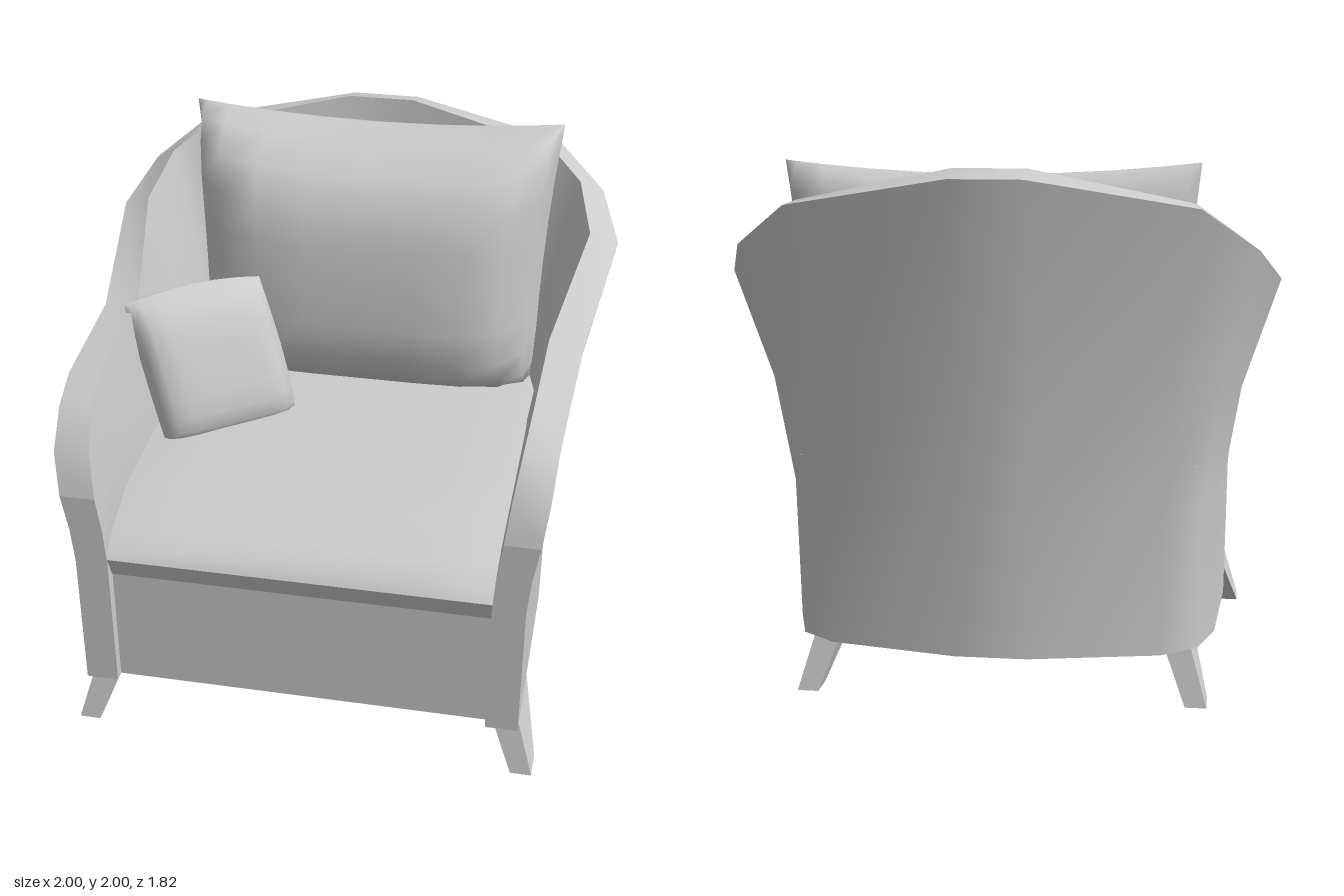
import * as THREE from 'three';

const mat = new THREE.MeshStandardMaterial({ color: 0xcccccc, side: THREE.DoubleSide });
const lerp = (a, b, t) => a + (b - a) * t;

function mesh(name, geo) {
  const m = new THREE.Mesh(geo, mat);
  m.name = name;
  return m;
}

// Smooth surface through rows x cols points, fn(row, col) -> [x, y, z]
function grid(rows, cols, fn) {
  const pos = [], idx = [];
  for (let i = 0; i < rows; i++) {
    for (let j = 0; j < cols; j++) {
      pos.push(...fn(i, j));
      if (i && j) {
        const d = i * cols + j, c = d - 1, b = d - cols, a = b - 1;
        idx.push(a, b, d, a, d, c);
      }
    }
  }
  const g = new THREE.BufferGeometry();
  g.setAttribute('position', new THREE.Float32BufferAttribute(pos, 3));
  g.setIndex(idx);
  g.computeVertexNormals();
  return g;
}

// Shell sections from arm front to back centre:
// outer rim x,y,z | inner rim x,y,z | outer foot x,z | inner foot x,z
const half = [
  [0.86, 1.06, 0.91, 0.73, 1.06, 0.91, 0.82, 0.91, 0.70, 0.91],
  [0.88, 1.22, 0.87, 0.75, 1.23, 0.87, 0.82, 0.87, 0.70, 0.87],
  [0.89, 1.34, 0.75, 0.77, 1.36, 0.75, 0.82, 0.75, 0.70, 0.75],
  [0.90, 1.39, 0.60, 0.78, 1.41, 0.60, 0.82, 0.60, 0.70, 0.60],
  [0.92, 1.41, 0.10, 0.79, 1.43, 0.10, 0.82, 0.10, 0.70, 0.10],
  [1.00, 1.58, -0.46, 0.89, 1.63, -0.42, 0.79, -0.40, 0.68, -0.36],
  [0.92, 1.70, -0.68, 0.83, 1.76, -0.61, 0.73, -0.60, 0.64, -0.52],
  [0.72, 1.85, -0.81, 0.70, 1.86, -0.70, 0.60, -0.70, 0.54, -0.59],
  [0.13, 1.95, -0.91, 0.13, 1.98, -0.79, 0.13, -0.80, 0.13, -0.68],
];
const mirrored = half.map(s => s.map((v, k) => ([0, 3, 6, 8].includes(k) ? -v : v))).reverse();
const sections = [...half, ...mirrored];
const N = sections.length;

// Height levels of the wall: how far each has flared towards the rim
function wall(s, inner, level) {
  const [rx, ry, rz] = inner ? s.slice(3, 6) : s;
  const [fx, fz] = inner ? s.slice(8) : s.slice(6, 8);
  const y = [0.24, 0.78, lerp(0.78, ry, 0.5), ry][level];
  const t = [0, 0.06, 0.38, 1][level];
  return [lerp(fx, rx, t), y, lerp(fz, rz, t)];
}

function shell() {
  const g = new THREE.Group();
  g.name = 'armsAndBack';
  g.add(mesh('outerWall', grid(4, N, (i, j) => wall(sections[j], false, i))));
  g.add(mesh('rim', grid(2, N, (i, j) => wall(sections[j], i === 1, 3))));
  g.add(mesh('innerWall', grid(4, N, (i, j) => wall(sections[j], true, 3 - i))));
  g.add(mesh('leftArmFront', grid(4, 2, (i, j) => wall(sections[0], j === 0, i))));
  g.add(mesh('rightArmFront', grid(4, 2, (i, j) => wall(sections[N - 1], j === 1, i))));
  // Underside, notched between the arm fronts
  const points = [
    [0.7, 0.87], [0.7, 0.91], ...sections.map(s => [s[6], s[7]]), [-0.7, 0.91], [-0.7, 0.87],
  ];
  const outline = new THREE.Shape(points.map(p => new THREE.Vector2(...p)));
  const floor = mesh('underside', new THREE.ShapeGeometry(outline).rotateX(Math.PI / 2));
  floor.position.y = 0.24;
  g.add(floor);
  return g;
}

// Seat: front panel block, overhanging lip and crowned cushion top
function seat() {
  const g = new THREE.Group();
  g.name = 'seat';
  const base = mesh('seatBase', new THREE.BoxGeometry(1.4, 0.469, 1.4));
  base.position.set(0, 0.4755, 0.17);
  g.add(base);
  const xs = [-0.72, -0.6, -0.45, 0, 0.45, 0.6, 0.72];
  const profile = [[0.91, 0.80], [0.88, 0.85], [0.8, 0.89], [0.6, 0.945], [0.3, 0.955], [-0.65, 0.955]];
  g.add(mesh('cushionTop', grid(profile.length, xs.length, (i, j) => {
    const [z, y] = profile[i];
    return [xs[j], y - (i ? 0.025 * (xs[j] / 0.72) ** 4 : 0), z];
  })));
  g.add(mesh('cushionLip', grid(2, 2, (i, j) => [j ? 0.71 : -0.71, i ? 0.80 : 0.71, i ? 0.91 : 0.87])));
  return g;
}

// Pillow: two bulging faces meeting at a seam, with sides drawn in between the corners
function pillow(name, o) {
  const n = 11;
  const at = k => Math.sin(((k / (n - 1)) * 2 - 1) * Math.PI / 2);
  const g = new THREE.Group();
  g.name = name;
  for (const side of [1, -1]) {
    g.add(mesh(side > 0 ? 'frontFace' : 'backFace', grid(n, n, (i, j) => {
      const u = at(j) * side, v = at(i);
      const w = lerp(o.bottom, o.top, (v + 1) / 2) * (1 - o.pinch * (1 - v * v));
      const depth = (side > 0 ? o.front : -o.back)
        * Math.sqrt(Math.max(0, (1 - u ** 6) * (1 - v ** 4)));
      return [u * w - o.skew * v, v * o.height + o.sag * u * u * Math.max(0, v), depth - o.lean * v];
    })));
  }
  g.position.set(...o.position);
  g.rotation.y = o.turn;
  return g;
}

// Splayed tapering leg, sign picks the side; x and z ranges at top and foot
function leg(name, sign, top, foot) {
  const g = new THREE.BoxGeometry(1, 1, 1);
  const p = g.attributes.position;
  for (let i = 0; i < p.count; i++) {
    const [x0, x1, z0, z1] = p.getY(i) > 0 ? top : foot;
    const a = sign * p.getX(i) + 0.5;
    p.setXYZ(i, sign * lerp(x0, x1, a), p.getY(i) > 0 ? 0.24 : 0, lerp(z0, z1, p.getZ(i) + 0.5));
  }
  const flat = g.toNonIndexed();
  flat.computeVertexNormals();
  return mesh(name, flat);
}

export function createModel() {
  const chair = new THREE.Group();
  chair.name = 'armchair';
  chair.add(shell(), seat());
  chair.add(pillow('backPillow', {
    top: 0.735, bottom: 0.68, height: 0.525, pinch: 0.03, sag: 0.045, skew: 0,
    front: 0.41, back: 0.17, lean: 0.045, position: [0.02, 1.425, -0.565], turn: 0,
  }));
  chair.add(pillow('smallPillow', {
    top: 0.28, bottom: 0.28, height: 0.28, pinch: -0.02, sag: -0.03, skew: 0.035,
    front: 0.11, back: 0.07, lean: 0.09, position: [-0.515, 1.2, 0.055], turn: 0.645,
  }));
  for (const s of [1, -1]) {
    const side = s > 0 ? 'Left' : 'Right';
    chair.add(leg('front' + side + 'Leg', s, [0.71, 0.81, 0.52, 0.83], [0.80, 0.88, 0.76, 0.875]));
    chair.add(leg('back' + side + 'Leg', s, [0.60, 0.70, -0.53, -0.23], [0.69, 0.77, -0.58, -0.46]));
  }
  return chair;
}
